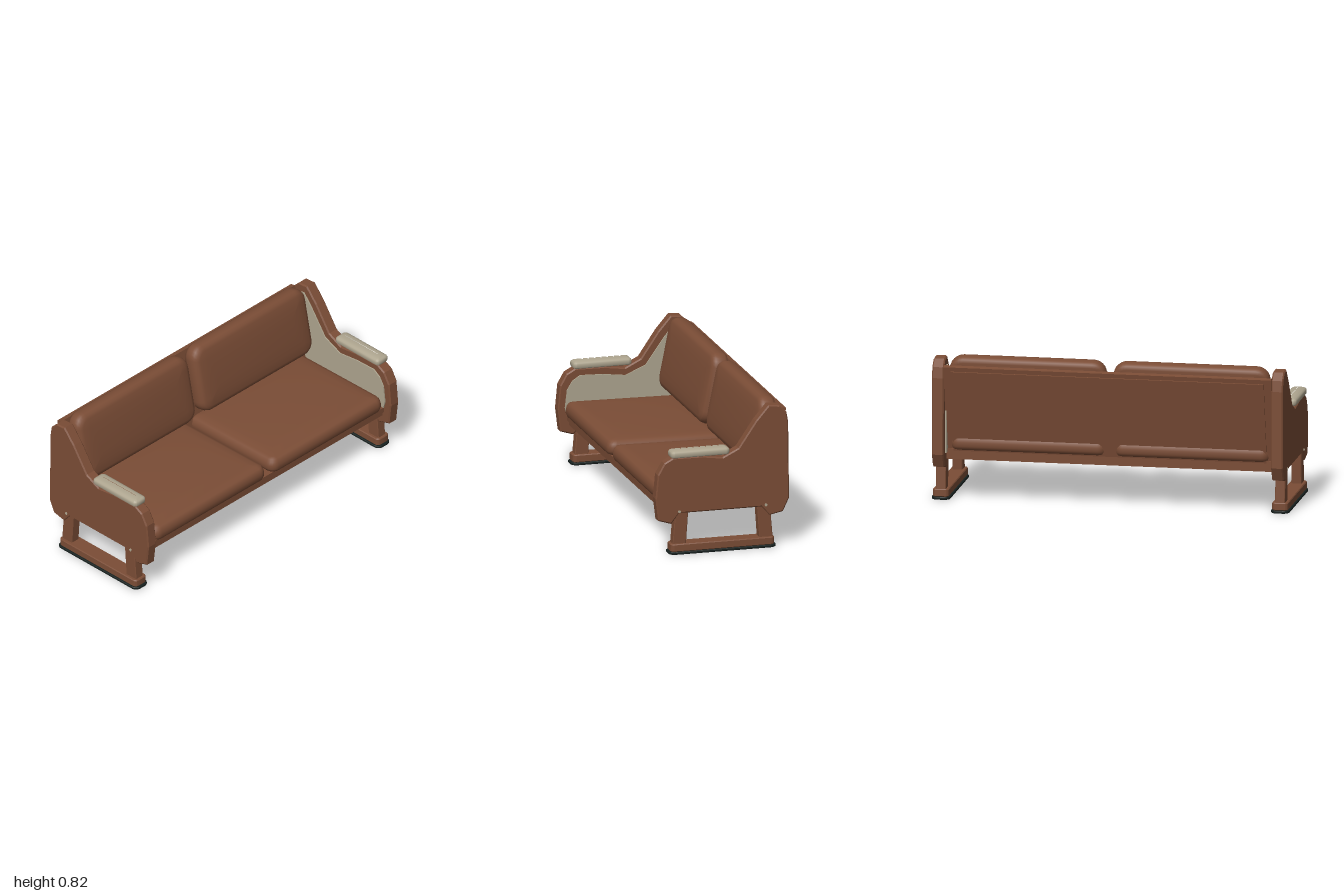
import * as THREE from 'three';
import { toCreasedNormals } from 'three/addons/utils/BufferGeometryUtils.js';

const material = (name, color) => {
  const m = new THREE.MeshStandardMaterial({ color });
  m.name = name;
  return m;
};

// Stacks rounded rectangles: each profile entry is [inset, height], from underside to top
function pad(width, depth, radius, profile, crease = 0.6) {
  const perCorner = 6, n = 4 * (perCorner + 1);
  const pos = [], index = [];
  for (const [inset, y] of profile) {
    const r = Math.max(radius - inset * 0.8, 0.0005);
    const hx = Math.max(width / 2 - inset, 0.001), hz = Math.max(depth / 2 - inset, 0.001);
    for (let c = 0; c < 4; c++) {
      const sx = c === 0 || c === 3 ? 1 : -1, sz = c < 2 ? 1 : -1;
      for (let k = 0; k <= perCorner; k++) {
        const a = (c + k / perCorner) * Math.PI / 2;
        pos.push(sx * (hx - r) + r * Math.cos(a), y, sz * (hz - r) + r * Math.sin(a));
      }
    }
  }
  for (let j = 0; j < profile.length - 1; j++) {
    for (let i = 0; i < n; i++) {
      const a = j * n + i, b = j * n + (i + 1) % n;
      index.push(a, a + n, b, b, a + n, b + n);
    }
  }
  const g = new THREE.BufferGeometry();
  g.setAttribute('position', new THREE.Float32BufferAttribute(pos, 3));
  g.setIndex(index);
  return toCreasedNormals(g, crease);
}

// Plate cut from an x-y outline, centred on z = 0, with a small bevel inside the outline
function plate(points, thickness, bevel) {
  const shape = new THREE.Shape(points.map(p => new THREE.Vector2(p[0], p[1])));
  const g = new THREE.ExtrudeGeometry(shape, {
    depth: thickness - 2 * bevel, bevelEnabled: bevel > 0, bevelThickness: bevel,
    bevelSize: bevel, bevelOffset: -bevel, bevelSegments: 1,
  });
  g.translate(0, 0, -thickness / 2 + bevel);
  return g;
}

export function createModel() {
  const model = new THREE.Group();
  model.name = 'benchSofa';
  const brown = material('brown leather', 0x7b4d36);
  const beige = material('beige trim', 0xaea58f);
  const rubber = material('dark rubber', 0x18211f);

  const add = (name, geometry, mat, x = 0, y = 0, z = 0, rotZ = 0) => {
    const mesh = new THREE.Mesh(geometry, mat);
    mesh.name = name;
    mesh.position.set(x, y, z);
    mesh.rotation.z = rotZ;
    model.add(mesh);
    return mesh;
  };
  const box = (name, x0, x1, y0, y1, halfZ, z = 0) =>
    add(name, new THREE.BoxGeometry(x1 - x0, y1 - y0, halfZ * 2), brown, (x0 + x1) / 2, (y0 + y1) / 2, z);

  // Side panels, linings, legs and runners
  const panelShape = plate([
    [-0.38, 0.27], [-0.345, 0.195], [-0.265, 0.178], [-0.22, 0.23], [0.25, 0.23], [0.295, 0.172],
    [0.37, 0.195], [0.385, 0.32], [0.372, 0.455], [0.335, 0.52], [0.285, 0.548], [0.12, 0.546],
    [0, 0.53], [-0.09, 0.575], [-0.19, 0.722], [-0.262, 0.806], [-0.325, 0.8], [-0.365, 0.76],
    [-0.375, 0.7],
  ], 0.066, 0.007);
  const liningShape = plate([
    [-0.33, 0.27], [0.33, 0.27], [0.347, 0.33], [0.335, 0.43], [0.305, 0.48], [0.26, 0.51],
    [0.13, 0.506], [0, 0.49], [-0.115, 0.54], [-0.225, 0.695], [-0.28, 0.76], [-0.33, 0.745],
  ], 0.008, 0);
  const legShape = s => plate([
    [0.21 * s, 0.05], [0.287 * s, 0.05], [0.273 * s, 0.215], [0.25 * s, 0.24], [0.197 * s, 0.24],
  ].slice().sort(() => 0), 0.056, 0.004);
  const runner = pad(0.595, 0.09, 0.022, [[0.3, 0], [0.004, 0], [0, 0.005], [0, 0.039], [0.004, 0.044], [0.3, 0.044]]);
  const foot = pad(0.615, 0.104, 0.035, [[0.3, 0], [0.003, 0], [0, 0.003], [0, 0.012], [0.003, 0.015], [0.3, 0.015]]);
  const armPad = pad(0.336, 0.088, 0.022, [
    [0.2, 0], [0.01, 0], [0.003, 0.004], [0, 0.011], [0, 0.026], [0.003, 0.033], [0.01, 0.038],
    [0.025, 0.043], [0.044, 0.046],
  ]);
  const bolt = new THREE.CylinderGeometry(0.008, 0.008, 0.006, 10).rotateX(Math.PI / 2);
  for (const side of [1, -1]) {
    add('sidePanel', panelShape, brown, 0, 0, side * 0.948);
    add('sideLining', liningShape, beige, 0, 0, side * 0.912);
    add('frontLeg', legShape(1), brown, 0, 0, side * 0.948);
    add('rearLeg', legShape(-1), brown, 0, 0, side * 0.948);
    add('runner', runner, brown, 0.003, 0.014, side * 0.948);
    add('rubberFoot', foot, rubber, 0.003, 0, side * 0.948);
    add('armPad', armPad, beige, 0.13, 0.546, side * 0.948);
    for (const x of [-0.246, 0.25]) add('bolt', bolt, beige, x, 0.24, side * 0.982);
  }

  // Seat frame: pan with a rim of rails beneath
  box('seatPan', -0.29, 0.335, 0.258, 0.29, 0.916);
  box('frontRail', 0.285, 0.322, 0.23, 0.262, 0.916);
  box('rearRail', -0.29, -0.255, 0.23, 0.262, 0.916);
  for (const side of [1, -1]) box('endRail', -0.27, 0.3, 0.232, 0.26, 0.018, side * 0.9);

  // Reclined back board with a shallow raised panel behind
  const lean = 0.2;
  add('backBoard', new THREE.BoxGeometry(0.03, 0.53, 1.83), brown, -0.314, 0.508, 0, lean);
  add('backPanel', new THREE.BoxGeometry(0.008, 0.49, 1.75), brown, -0.331, 0.5, 0, lean);

  // Seat and back cushions with rounded edges and a gentle crown
  const cushionProfile = (t, crown) => [
    [0.3, 0], [0.025, 0], [0.008, 0.008], [0, 0.025], [0, t - 0.04], [0.005, t - 0.02],
    [0.016, t - 0.006], [0.035, t], [0.08, t + crown * 0.4], [0.14, t + crown * 0.8], [0.35, t + crown],
  ];
  const seatCushion = pad(0.67, 0.875, 0.05, cushionProfile(0.088, 0.016), 1);
  const backCushion = pad(0.405, 0.875, 0.075, cushionProfile(0.098, 0.012), 1);
  for (const side of [1, -1]) {
    add('seatCushion', seatCushion, brown, 0.025, 0.286, side * 0.457, 0.015);
    add('backCushion', backCushion, brown, -0.304, 0.608, side * 0.457, lean - Math.PI / 2);
  }
  return model;
}
